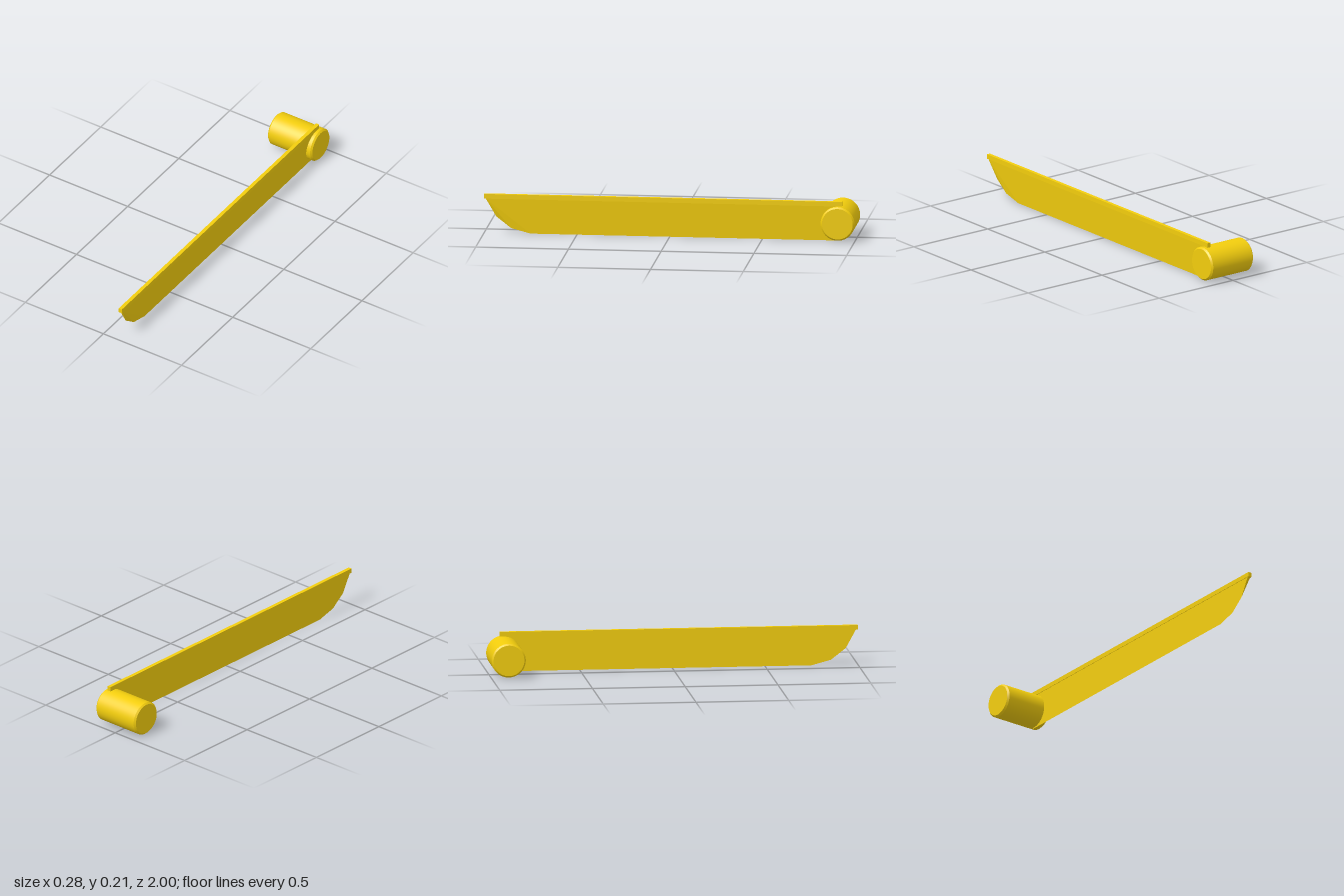
import * as THREE from 'three';
import { ConvexGeometry } from 'three/addons/geometries/ConvexGeometry.js';

export function createModel() {
  const model = new THREE.Group();
  model.name = 'foldingBlade';
  const material = new THREE.MeshStandardMaterial({ color: 0xf2cd0d });

  const add = (name, geometry, parent = model) => {
    const mesh = new THREE.Mesh(geometry, material);
    mesh.name = name;
    parent.add(mesh);
    return mesh;
  };

  // Barrel lying along x, with a small chamfer on each end
  const radius = 0.0915, endRadius = 0.083, half = 0.142, chamfer = 0.009, sides = 64;
  const barrel = new THREE.Group();
  barrel.name = 'pivotBarrel';
  barrel.position.set(0, 0.097, -0.9085);
  barrel.rotation.z = -Math.PI / 2;
  model.add(barrel);
  add('barrelBody', new THREE.CylinderGeometry(radius, radius, 2 * (half - chamfer), sides, 1, true), barrel);
  for (const s of [-1, 1]) {
    const end = add(s > 0 ? 'leftChamferedEnd' : 'rightChamferedEnd',
      new THREE.CylinderGeometry(endRadius, radius, chamfer, sides), barrel);
    end.position.y = s * (half - chamfer / 2);
    if (s < 0) end.rotation.x = Math.PI;
  }

  // Spine bar along the top of the blade
  const spine = add('spine', new THREE.BoxGeometry(0.02, 0.025, 1.93));
  spine.position.set(0.1075, 0.2015, 0.035);

  // Wedge blade: flat inner face, sloped outer face, cutting edge rising to the tip
  const flatX = 0.1, thickX = 0.116, topY = 0.19, backZ = -0.915, tipZ = 0.99;
  const edge = [[0, backZ], [0, 0.75], [0.028, 0.855], [0.09, 0.935]]; // y, z
  const points = edge.map(([y, z]) => new THREE.Vector3(flatX, y, z));
  for (const z of [backZ, tipZ]) {
    for (const x of [flatX, thickX]) points.push(new THREE.Vector3(x, topY, z));
  }
  add('blade', new ConvexGeometry(points));

  return model;
}
